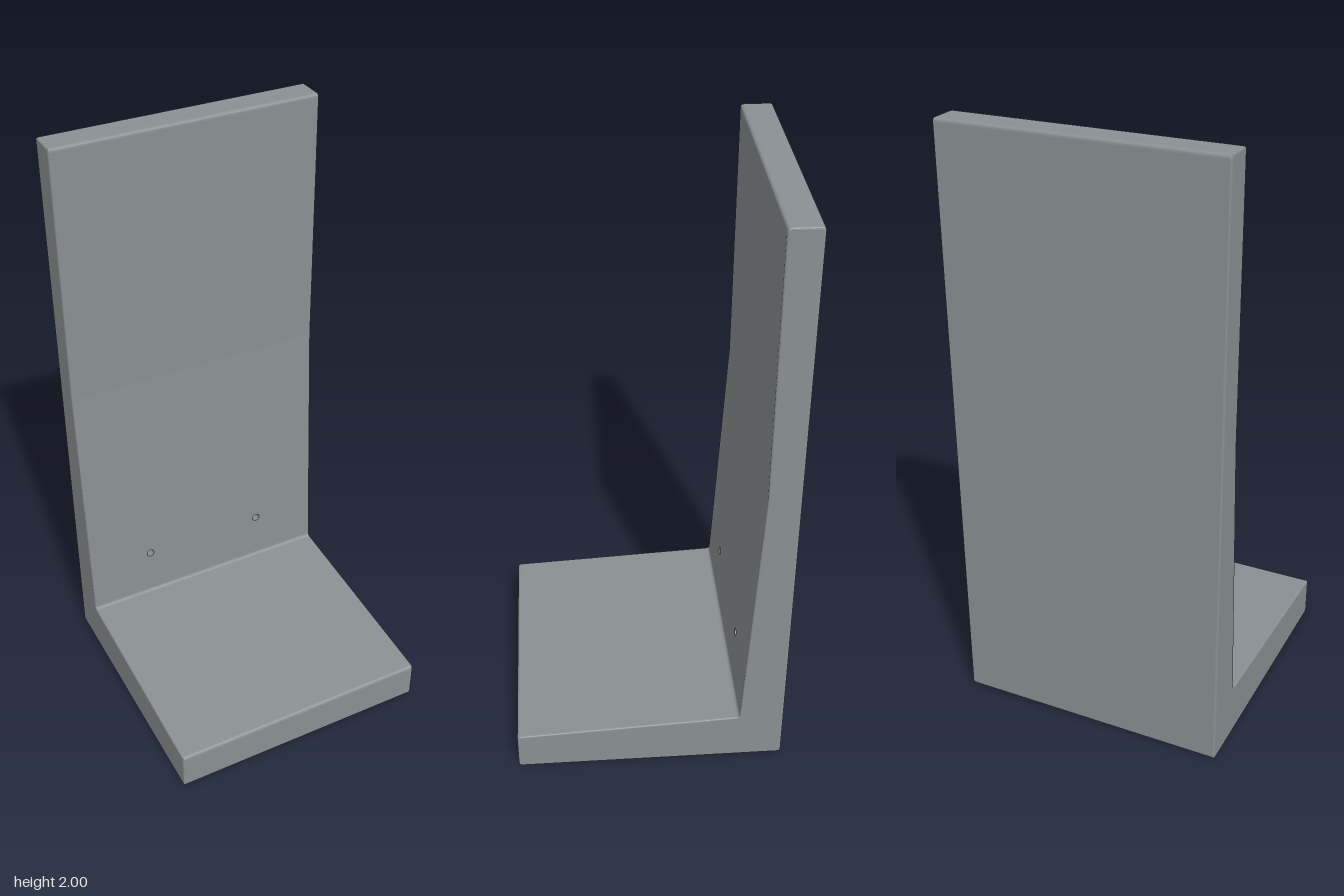
import * as THREE from 'three';

const WIDTH = 0.916, BEVEL = 0.006, ROUND = 0.012;

// Side profile: x runs towards the back, y is up
const PROFILE = [
  [-0.455, 0, ROUND], [0.455, 0, ROUND], [0.455, 2, ROUND], [0.35, 2, ROUND],
  [0.35, 1.1, 0], [0.304, 0.18, ROUND], [-0.455, 0.14, ROUND],
];

// Polygon with each corner softened by its own radius
function roundedShape(corners) {
  const v = corners.map(([x, y]) => new THREE.Vector2(x, y));
  const points = [];
  v.forEach((p, i) => {
    const r = corners[i][2];
    if (!r) return points.push(p);
    const towards = (q) => q.clone().sub(p).setLength(r).add(p);
    const a = towards(v[(i + v.length - 1) % v.length]);
    const b = towards(v[(i + 1) % v.length]);
    points.push(...new THREE.QuadraticBezierCurve(a, p, b).getPoints(4));
  });
  return new THREE.Shape(points);
}

// Copy of a geometry without the triangles that face along a direction
function withoutFaces(geometry, direction) {
  const pos = geometry.attributes.position;
  const tri = new THREE.Triangle(), n = new THREE.Vector3();
  const kept = [];
  for (let i = 0; i < pos.count; i += 3) {
    tri.setFromAttributeAndIndices(pos, i, i + 1, i + 2);
    tri.getNormal(n);
    if (n.dot(direction) < 0.9999) {
      for (const c of [tri.a, tri.b, tri.c]) kept.push(c.x, c.y, c.z);
    }
  }
  const out = new THREE.BufferGeometry();
  out.setAttribute('position', new THREE.Float32BufferAttribute(kept, 3));
  out.computeVertexNormals();
  return out;
}

export function createModel() {
  const model = new THREE.Group();
  model.name = 'retainingWall';
  const concrete = new THREE.MeshStandardMaterial({ color: 0x8a9093 });
  concrete.name = 'concrete grey';
  const concreteInside = concrete.clone();
  concreteInside.name = 'concrete grey inside';
  concreteInside.side = THREE.BackSide;

  const add = (parent, name, geometry, material = concrete) => {
    const mesh = new THREE.Mesh(geometry, material);
    mesh.name = name;
    parent.add(mesh);
    return mesh;
  };

  // Wall and foot in one L-shaped casting, left open at the sloping face
  const [topX, topY] = PROFILE[4], [lowX, lowY] = PROFILE[5];
  const tilt = Math.atan2(topX - lowX, topY - lowY);
  const length = Math.hypot(topX - lowX, topY - lowY);
  const body = new THREE.ExtrudeGeometry(roundedShape(PROFILE), {
    depth: WIDTH - 2 * BEVEL, bevelThickness: BEVEL, bevelSize: BEVEL,
    bevelOffset: -BEVEL, bevelSegments: 3,
  });
  body.translate(0, 0, BEVEL - WIDTH / 2).rotateY(Math.PI / 2);
  const slopeNormal = new THREE.Vector3(0, Math.sin(tilt), Math.cos(tilt));
  add(model, 'wallAndFoot', withoutFaces(body, slopeNormal));

  // Sloping lower wall face with its two anchor holes
  const slope = new THREE.Group();
  slope.name = 'slopingFace';
  slope.position.set(0, lowY, -lowX);
  slope.rotation.x = -tilt;
  model.add(slope);

  const half = WIDTH / 2 - BEVEL;
  const face = new THREE.Shape([
    new THREE.Vector2(-half, ROUND), new THREE.Vector2(half, ROUND),
    new THREE.Vector2(half, length), new THREE.Vector2(-half, length),
  ]);
  const holeY = 0.175, holeR = 0.014, holeDepth = 0.04;
  for (const side of [-1, 1]) {
    const x = side * 0.222;
    face.holes.push(new THREE.Path().absarc(x, holeY, holeR, 0, Math.PI * 2, true));
    const bore = new THREE.CylinderGeometry(holeR, holeR, holeDepth, 24, 1, true);
    bore.rotateX(Math.PI / 2);
    add(slope, 'anchorHoleBore', bore, concreteInside).position.set(x, holeY, -holeDepth / 2);
    add(slope, 'anchorHoleEnd', new THREE.CircleGeometry(holeR, 24))
      .position.set(x, holeY, -holeDepth);
  }
  add(slope, 'slopingPanel', new THREE.ShapeGeometry(face, 12));

  return model;
}
